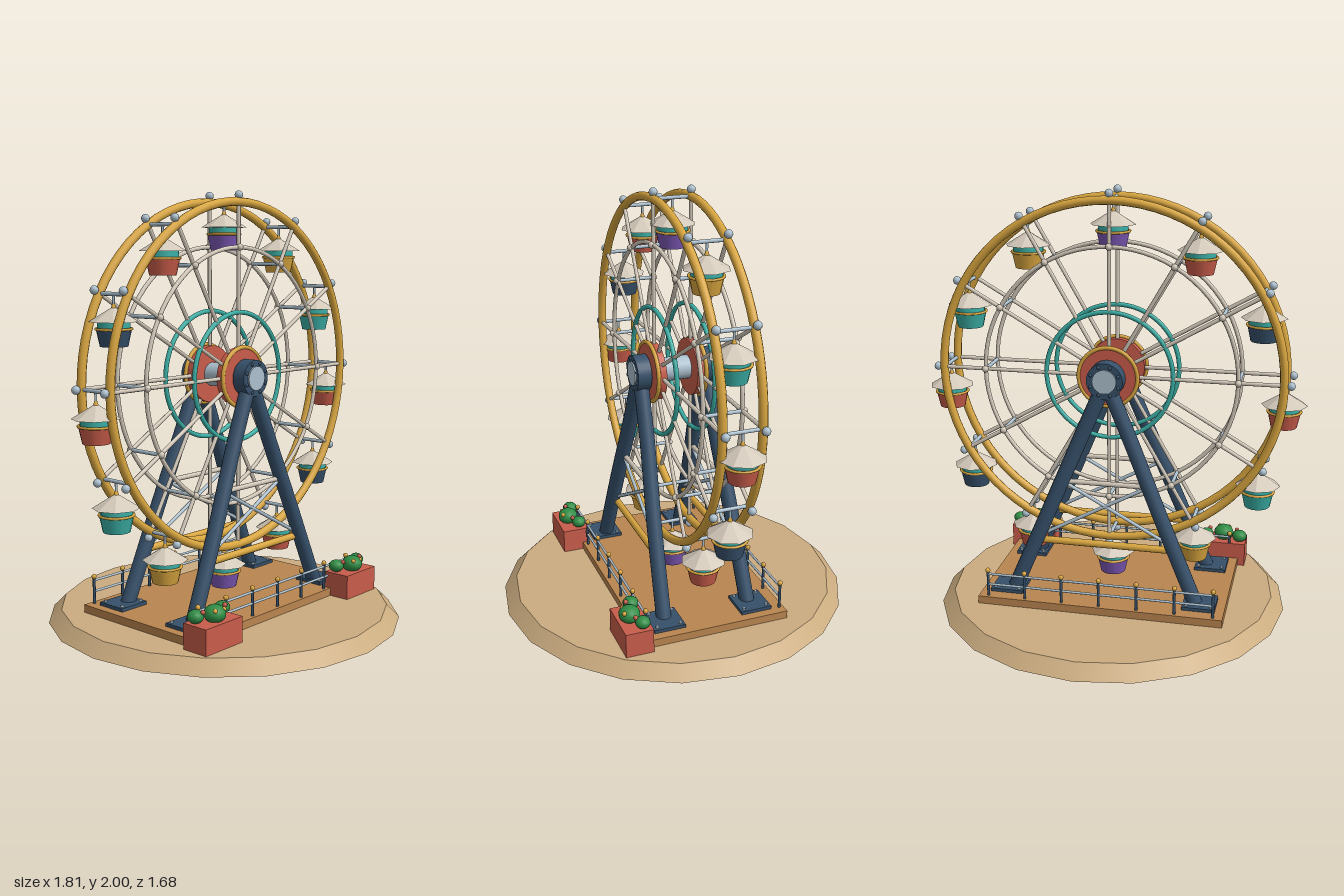
import * as THREE from 'three';

const mat = (name, color) => {
  const m = new THREE.MeshStandardMaterial({ color });
  m.name = name;
  return m;
};

export function createModel() {
  const gold = mat('gold', 0xd9a63f), teal = mat('teal', 0x3aafa5), red = mat('brick red', 0xc85c4a);
  const navy = mat('navy', 0x36506a), purple = mat('purple', 0x7c57b5), cream = mat('cream', 0xd3c9ba);
  const steel = mat('pale steel', 0xacc0ce), sand = mat('sand', 0xcbac80);
  const wood = mat('wood', 0xb9854f), green = mat('leaf green', 0x2f8c45);

  const model = new THREE.Group();
  model.name = 'ferrisWheel';
  const HUB_Y = 1.15, RIM = 0.8, RIM_Z = 0.09;

  // Helpers
  const group = (name, parent = model) => {
    const g = new THREE.Group();
    g.name = name;
    parent.add(g);
    return g;
  };
  const add = (parent, name, geo, material, x = 0, y = 0, z = 0) => {
    const m = new THREE.Mesh(geo, material);
    m.name = name;
    m.position.set(x, y, z);
    parent.add(m);
    return m;
  };
  const rod = (parent, name, a, b, r, material, sides = 8) => {
    const p = new THREE.Vector3(...a), q = new THREE.Vector3(...b), d = q.clone().sub(p);
    const m = add(parent, name, new THREE.CylinderGeometry(r, r, d.length(), sides), material);
    m.position.copy(p).add(q).multiplyScalar(0.5);
    m.quaternion.setFromUnitVectors(new THREE.Vector3(0, 1, 0), d.normalize());
    return m;
  };
  const ball = (parent, name, r, material, x, y, z) =>
    add(parent, name, new THREE.SphereGeometry(r, 10, 8), material, x, y, z);

  // Base and platform
  add(model, 'groundBase', new THREE.CylinderGeometry(0.78, 0.84, 0.06, 20), sand, 0, 0.03, 0);
  add(model, 'platform', new THREE.BoxGeometry(1.165, 0.04, 0.705), wood, 0, 0.077, 0);

  // Support frames, one each side of the wheel
  for (const s of [1, -1]) {
    const frame = group(s > 0 ? 'frontSupport' : 'backSupport');
    for (const k of [1, -1]) {
      const path = new THREE.CatmullRomCurve3([
        new THREE.Vector3(k * 0.438, 0.1, s * 0.21), new THREE.Vector3(k * 0.27, 0.5, s * 0.193),
        new THREE.Vector3(k * 0.125, 0.85, s * 0.171), new THREE.Vector3(k * 0.015, 1.11, s * 0.162),
      ]);
      add(frame, 'leg', new THREE.TubeGeometry(path, 16, 0.036, 12), navy);
      add(frame, 'footPlate', new THREE.BoxGeometry(0.155, 0.016, 0.15), navy, k * 0.462, 0.105, s * 0.215);
      for (const dx of [-0.058, 0.058]) for (const dz of [-0.056, 0.056])
        add(frame, 'footBolt', new THREE.CylinderGeometry(0.008, 0.008, 0.01, 6), steel,
          k * 0.462 + dx, 0.117, s * 0.215 + dz);
      rod(frame, 'crossBrace', [-k * 0.31, 0.37, s * 0.183], [k * 0.205, 0.65, s * 0.18], 0.009, steel);
    }
    rod(frame, 'lowerTie', [-0.33, 0.345, s * 0.185], [0.33, 0.345, s * 0.185], 0.017, gold, 10);
    rod(frame, 'upperTie', [-0.21, 0.65, s * 0.178], [0.21, 0.65, s * 0.178], 0.012, cream, 10);
    rod(frame, 'bearing', [0, HUB_Y, s * 0.13], [0, HUB_Y, s * 0.196], 0.085, navy, 24);
    for (let i = 0; i < 8; i++) {
      const a = (i + 0.5) * Math.PI / 4;
      ball(frame, 'bearingBolt', 0.008, navy, 0.07 * Math.cos(a), HUB_Y + 0.07 * Math.sin(a), s * 0.197);
    }
  }

  // Wheel: hub, rings, spokes and ties
  const wheel = group('wheel');
  wheel.position.y = HUB_Y;
  rod(wheel, 'axle', [0, 0, -0.203], [0, 0, 0.203], 0.056, steel, 20);
  for (const s of [1, -1]) {
    const z = s * RIM_Z;
    const ring = (name, r, tube, m, zz = z) =>
      add(wheel, name, new THREE.TorusGeometry(r, tube, 10, 72), m, 0, 0, zz);
    ring('outerRim', RIM, 0.02, gold);
    ring('middleRing', 0.595, 0.01, cream);
    ring('innerRing', 0.298, 0.011, teal);
    ring('hubTrim', 0.138, 0.01, gold, s * 0.117);
    rod(wheel, 'hubDisc', [0, 0, s * 0.075], [0, 0, s * 0.123], 0.135, red, 32);
  }
  for (let i = 0; i < 12; i++) {
    const a = i * Math.PI / 6, c = Math.cos(a), n = Math.sin(a);
    for (const s of [1, -1]) {
      const z = s * RIM_Z;
      rod(wheel, 'spoke', [0.1 * c, 0.1 * n, z], [RIM * c, RIM * n, z], 0.0095, cream);
      ball(wheel, 'rimBulb', 0.0195, steel, 0.8305 * c, 0.8305 * n, z);
      ball(wheel, 'ringJoint', 0.016, cream, 0.595 * c, 0.595 * n, s * 0.098);
    }
    for (const r of [RIM, 0.595])
      rod(wheel, 'tieBar', [r * c, r * n, -RIM_Z], [r * c, r * n, RIM_Z], 0.009, steel);
  }

  // Gondolas hang upright from the rim tie bars
  const tubColours = [red, teal, gold, purple, red, navy];
  for (let i = 0; i < 12; i++) {
    const a = i * Math.PI / 6;
    const g = group('gondola', wheel);
    g.position.set(RIM * Math.cos(a), RIM * Math.sin(a), 0);
    rod(g, 'hanger', [0, 0, 0], [0, -0.07, 0], 0.006, steel);
    add(g, 'finial', new THREE.ConeGeometry(0.013, 0.04, 8), gold, 0, -0.042, 0);
    const roofGeo = new THREE.ConeGeometry(0.106, 0.065, 8).toNonIndexed();
    roofGeo.computeVertexNormals();
    add(g, 'roof', roofGeo, cream, 0, -0.083, 0);
    add(g, 'cabinBand', new THREE.CylinderGeometry(0.07, 0.07, 0.034, 16), teal, 0, -0.126, 0);
    const trim = add(g, 'cabinTrim', new THREE.TorusGeometry(0.076, 0.006, 8, 24), gold, 0, -0.146, 0);
    trim.rotation.x = Math.PI / 2;
    add(g, 'tub', new THREE.CylinderGeometry(0.077, 0.06, 0.078, 16), tubColours[i % 6], 0, -0.181, 0);
  }

  // Railings along the front and back of the platform
  for (const z of [0.332, -0.332]) {
    const fence = group(z > 0 ? 'frontRailing' : 'backRailing');
    for (let i = -3; i <= 3; i++) {
      rod(fence, 'post', [i * 0.179, 0.09, z], [i * 0.179, 0.222, z], 0.007, navy);
      ball(fence, 'postCap', 0.012, gold, i * 0.179, 0.226, z);
    }
    for (const y of [0.155, 0.208]) rod(fence, 'rail', [-0.537, y, z], [0.537, y, z], 0.006, steel);
  }

  // Planters with shrubs and flowers
  for (const k of [1, -1]) {
    const planter = group(k > 0 ? 'leftPlanter' : 'rightPlanter');
    planter.position.set(k * 0.501, 0, 0.387);
    add(planter, 'planterBox', new THREE.BoxGeometry(0.232, 0.118, 0.131), red, 0, 0.117, 0);
    for (const [x, z, r] of [[-0.084, -0.024, 0.037], [0, 0.01, 0.05], [0.084, -0.024, 0.035]]) {
      const shrub = add(planter, 'shrub', new THREE.SphereGeometry(r, 12, 9), green, x, 0.205, z);
      shrub.scale.y = 0.8;
    }
    [[-0.068, 0.004], [0.024, 0.04], [0.07, 0.004], [-0.025, 0.035]].forEach(([x, z], i) =>
      ball(planter, 'flower', 0.011, i % 2 ? gold : red, x, 0.225, z));
  }
  return model;
}
